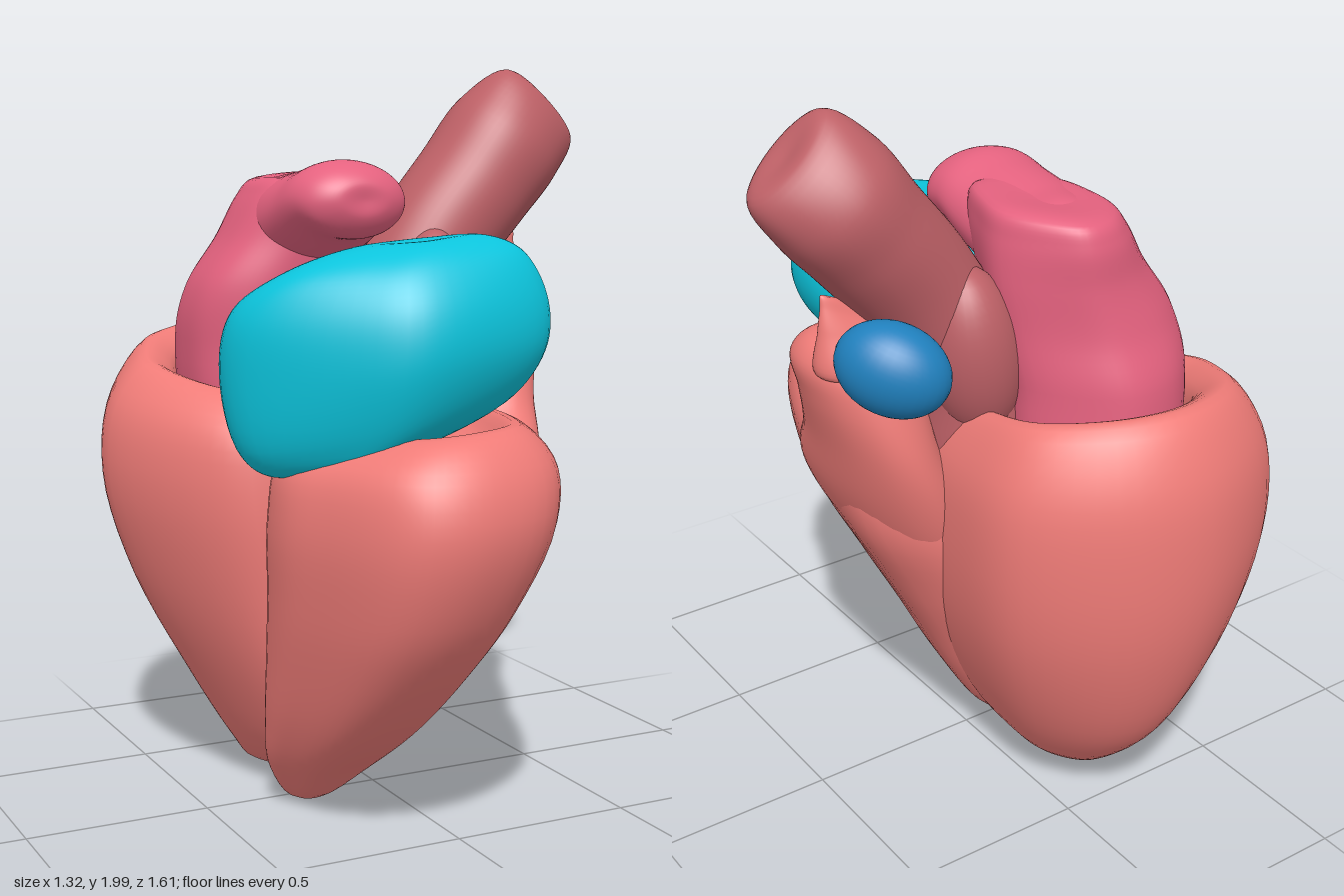
import * as THREE from 'three';
import { mergeVertices } from 'three/addons/utils/BufferGeometryUtils.js';

const V = (x, y, z) => new THREE.Vector3(x, y, z);
const SEGMENTS = 56;

const material = (color) => new THREE.MeshStandardMaterial({ color });
const muscle = material(0xf07c78);
const vessel = material(0xbd6066);
const pink = material(0xe5627f);
const teal = material(0x0cc4dc);
const blue = material(0x2080bd);

// Smooth closed outline through a few points in the unit square
function outline(points) {
  const curve = new THREE.CatmullRomCurve3(points.map(([u, v]) => V(u, v, 0)), true);
  return Array.from({ length: SEGMENTS }, (_, i) => curve.getPoint(i / SEGMENTS));
}
const circle = Array.from({ length: 12 }, (_, i) => [Math.cos(i * Math.PI / 6), Math.sin(i * Math.PI / 6)]);

// One cross-section: height, extents on both axes, tilt along both axes
function section(shape, [h, a0, a1, b0, b1, ta = 0, tb = 0], axis) {
  return shape.map(({ x: u, y: v }) => {
    const a = (a0 + a1) / 2 + u * (a1 - a0) / 2;
    const b = (b0 + b1) / 2 + v * (b1 - b0) / 2;
    const c = h + ta * u + tb * v;
    return axis === 'y' ? V(a, c, b) : V(a, b, c);
  });
}

// Smooth skin through the sections, closed at both ends
function skin(name, rings, mat, steps = 48) {
  const centre = (ring) => ring.reduce((s, p) => s.add(p), V(0, 0, 0)).divideScalar(ring.length);
  const first = centre(rings[0]), last = centre(rings[rings.length - 1]);
  const columns = rings[0].map((_, j) =>
    new THREE.CatmullRomCurve3([first, ...rings.map((r) => r[j]), last]).getPoints(steps));
  const pos = [], index = [];
  for (let i = 0; i <= steps; i++) columns.forEach((c) => pos.push(...c[i].toArray()));
  for (let i = 0; i < steps; i++) {
    for (let j = 0; j < SEGMENTS; j++) {
      const k = (j + 1) % SEGMENTS;
      const a = i * SEGMENTS + j, b = i * SEGMENTS + k;
      index.push(a, a + SEGMENTS, b, b, a + SEGMENTS, b + SEGMENTS);
    }
  }
  // Turn the faces outward
  let volume = 0;
  const at = (i) => V(pos[3 * i], pos[3 * i + 1], pos[3 * i + 2]);
  for (let i = 0; i < index.length; i += 3) {
    volume += at(index[i]).dot(at(index[i + 1]).cross(at(index[i + 2])));
  }
  if (volume < 0) index.reverse();
  let geometry = new THREE.BufferGeometry();
  geometry.setAttribute('position', new THREE.Float32BufferAttribute(pos, 3));
  geometry.setIndex(index);
  geometry = mergeVertices(geometry, 1e-5);
  geometry.computeVertexNormals();
  const mesh = new THREE.Mesh(geometry, mat);
  mesh.name = name;
  return mesh;
}

function loft(name, points, rows, mat, axis = 'y') {
  const shape = outline(points);
  return skin(name, rows.map((row) => section(shape, row, axis)), mat);
}

// Vessel along a path in the x-y plane; rows are x, y, z, radius in plane, radius in z
function tube(name, rows, mat) {
  const path = new THREE.CatmullRomCurve3(rows.map(([x, y, z]) => V(x, y, z)));
  const shape = outline(circle);
  const rings = rows.map(([x, y, z, ra, rb], i) => {
    const t = path.getTangent(i / (rows.length - 1));
    const side = V(t.y, -t.x, 0).normalize();
    return shape.map((p) => V(x, y, z + p.y * rb).addScaledVector(side, p.x * ra));
  });
  return skin(name, rings, mat);
}

function ellipsoid(name, centre, radii, rotation, mat) {
  const mesh = new THREE.Mesh(new THREE.SphereGeometry(1, 32, 24), mat);
  mesh.name = name;
  mesh.position.set(...centre);
  mesh.scale.set(...radii);
  mesh.rotation.set(...rotation);
  return mesh;
}

export function createModel() {
  const heart = new THREE.Group();
  heart.name = 'heart';

  // Rear ventricle: rounded cone with a hollow, tilted rim
  heart.add(loft('rearVentricle',
    [[-1, .05], [-.93, -.28], [-.66, -.73], [-.05, -1], [.5, -.9], [.95, -.48], [1, .0], [.85, .65], [.3, .95], [-.45, .97], [-.76, .68]],
    [
      [.03, -.25, -.13, -.37, -.2],
      [.11, -.32, -.01, -.48, 0],
      [.3, -.43, .11, -.65, .12],
      [.6, -.58, .22, -.765, .15],
      [.88, -.655, .255, -.8, .15],
      [1.08, -.63, .235, -.775, .12, .0, -.04],
      [1.2, -.53, .15, -.68, .03, .01, -.07],
      [1.16, -.46, .09, -.59, -.02, .01, -.06],
      [1.06, -.42, .05, -.54, -.05],
    ], muscle));

  // Front ventricle: wedge wrapping around the left side
  heart.add(loft('frontVentricle',
    [[-1, .2], [-.88, .48], [-.66, .84], [-.45, .97], [-.1, 1], [.35, .87], [.66, .45], [.94, -.25], [.97, -.72], [.55, -1], [-.2, -.5], [-.92, -.1]],
    [
      [.01, -.26, -.15, -.05, .07],
      [.12, -.34, .0, -.14, .22],
      [.27, -.38, .1, -.2, .42],
      [.45, -.405, .19, -.24, .6],
      [.63, -.425, .285, -.26, .73],
      [.85, -.44, .395, -.26, .8],
      [.99, -.41, .4, -.22, .765, .0, .01],
      [1.065, -.29, .26, -.12, .67, .02, .025],
      [1.03, -.2, .18, -.02, .5],
    ], muscle));

  // Outflow trunk rising from the front ventricle
  heart.add(loft('outflowTrunk', circle, [
    [.55, .02, .17, -.15, .15],
    [.75, .05, .33, -.23, .3],
    [.93, .1, .425, -.265, .34],
    [1.08, .17, .475, -.265, .21, .03],
    [1.22, .21, .515, -.235, .14, .03],
    [1.33, .26, .53, -.19, .125, .01],
    [1.395, .32, .49, -.13, .05],
  ], muscle));

  // Thin fin on top of the trunk
  heart.add(loft('outflowFin', circle, [
    [1.33, .24, .52, -.2, -.02],
    [1.42, .27, .515, -.16, -.06, .03],
    [1.48, .36, .505, -.13, -.08, .03],
    [1.53, .45, .5, -.11, -.09, .01],
  ], muscle));

  // Front atrium
  heart.add(loft('frontAtrium',
    [[-1, -.5], [-.75, -1], [.1, -1], [.5, -.55], [.85, -.15], [1, .2], [.95, .65], [.5, .92], [-.1, 1], [-.5, .65], [-.95, -.05]],
    [
      [1.0, -.44, -.08, .22, .5, .04],
      [1.09, -.505, .15, .14, .61, .07],
      [1.25, -.54, .22, .09, .67, .03],
      [1.38, -.52, .22, .13, .66, .02],
      [1.485, -.43, .16, .26, .6, .03],
      [1.54, -.25, .07, .36, .52, .015],
    ], teal));

  // Rear atrium: its right-hand wall leans in towards the top
  heart.add(loft('rearAtrium',
    [[-1, .2], [-.9, -.4], [-.4, -.9], [.2, -1], [.6, -.75], [1, -.15], [.85, .4], [.5, .95], [-.3, 1], [-.68, .85], [-.94, .58]],
    [
      [1.03, -.41, .02, -.52, -.06],
      [1.25, -.45, .05, -.54, -.04],
      [1.4, -.43, .07, -.49, -.02],
      [1.53, -.35, .085, -.46, 0],
      [1.64, -.29, .08, -.45, .02],
      [1.695, -.25, .06, -.42, 0, .01],
    ], pink));

  // Raised front lobe of the rear atrium
  heart.add(loft('rearAtriumLobe', circle, [
    [-.28, -.24, .03, 1.45, 1.69],
    [-.15, -.3, .03, 1.43, 1.705],
    [.0, -.3, .03, 1.48, 1.725],
    [.1, -.29, .025, 1.53, 1.74],
    [.17, -.26, .01, 1.54, 1.72],
    [.21, -.2, -.05, 1.59, 1.68],
  ], pink, 'z'));

  // Main artery with a swelling on each side of its root
  heart.add(tube('mainArtery', [
    [.07, 1.0, -.1, .15, .18],
    [.1, 1.28, -.1, .16, .18],
    [.22, 1.5, -.09, .165, .17],
    [.36, 1.67, -.09, .17, .175],
    [.47, 1.8, -.09, .175, .165],
    [.56, 1.895, -.07, .14, .075],
  ], vessel));
  heart.add(ellipsoid('frontRootSwelling', [.14, 1.34, .04], [.1, .22, .12], [0, 0, -.15], vessel));
  heart.add(ellipsoid('rearRootSwelling', [.12, 1.33, -.2], [.13, .24, .13], [0, 0, -.15], vessel));

  // Small side appendage
  heart.add(ellipsoid('sideAppendage', [.395, 1.375, -.257], [.15, .12, .105], [0, -Math.PI / 4, .35], blue));

  return heart;
}
